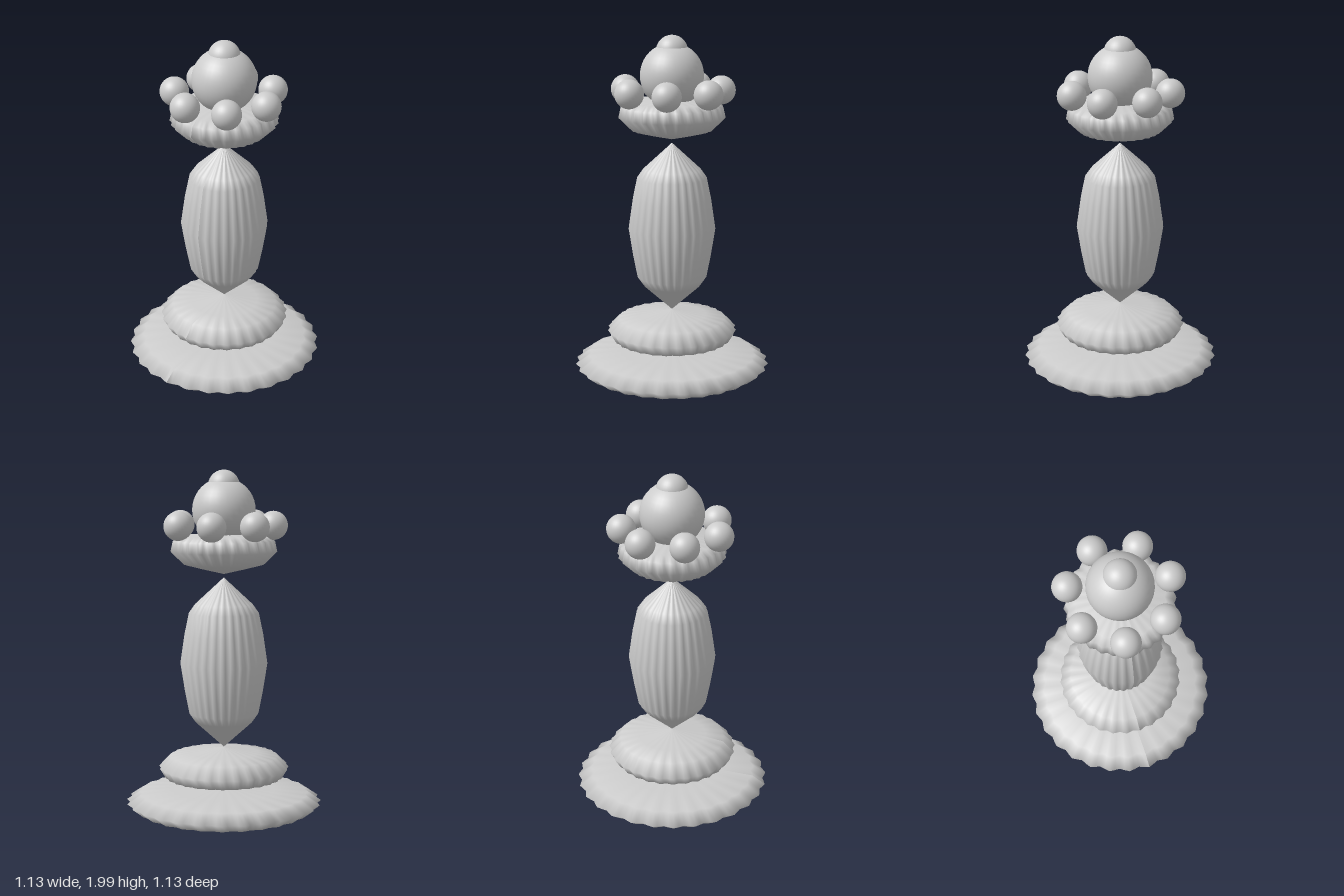
import * as THREE from 'three';

const material = new THREE.MeshStandardMaterial({ color: 0xcccccc });
const FLUTES = 28;

// Lathe a [radius, y] profile, then ripple the radius into vertical flutes
function fluted(name, profile, depth) {
  const points = profile.map(([r, y]) => new THREE.Vector2(r, y));
  const geometry = new THREE.LatheGeometry(points, FLUTES * 4);
  const pos = geometry.attributes.position;
  for (let i = 0; i < pos.count; i++) {
    const x = pos.getX(i), z = pos.getZ(i);
    const k = 1 - depth * (0.5 - 0.5 * Math.cos(FLUTES * Math.atan2(z, x)));
    pos.setX(i, x * k);
    pos.setZ(i, z * k);
  }
  geometry.computeVertexNormals();
  const mesh = new THREE.Mesh(geometry, material);
  mesh.name = name;
  return mesh;
}

function ball(name, radius, x, y, z) {
  const mesh = new THREE.Mesh(new THREE.SphereGeometry(radius, 32, 20), material);
  mesh.name = name;
  mesh.position.set(x, y, z);
  return mesh;
}

export function createModel() {
  const group = new THREE.Group();
  group.name = 'ornamentalPiece';

  // Stacked base discs
  group.add(fluted('baseDisc', [
    [0, 0.01], [0.3, 0.03], [0.5, 0.045], [0.565, 0.095], [0.49, 0.145], [0.3, 0.16], [0, 0.18],
  ], 0.035));
  group.add(fluted('upperDisc', [
    [0, 0.195], [0.2, 0.213], [0.34, 0.238], [0.375, 0.295], [0.31, 0.36], [0.2, 0.38], [0, 0.408],
  ], 0.035));

  // Tall body tapering to a point at both ends
  group.add(fluted('body', [
    [0, 0.41], [0.165, 0.56], [0.2, 0.61], [0.225, 0.74], [0.25, 0.9],
    [0.225, 1.07], [0.2, 1.19], [0.165, 1.24], [0, 1.393],
  ], 0.045));

  // Crown dish
  group.add(fluted('crownDish', [
    [0, 1.412], [0.12, 1.44], [0.23, 1.468], [0.303, 1.54], [0.29, 1.6], [0.245, 1.63], [0, 1.645],
  ], 0.045));

  // Central dome with a finial
  group.add(ball('crownDome', 0.18, 0, 1.775, 0));
  group.add(ball('finial', 0.09, 0, 1.91, 0));

  // Ring of crown balls
  const count = 7;
  for (let i = 0; i < count; i++) {
    const a = (i / count) * Math.PI * 2;
    group.add(ball('crownBall' + (i + 1), 0.082, 0.28 * Math.cos(a), 1.688, 0.28 * Math.sin(a)));
  }
  return group;
}
